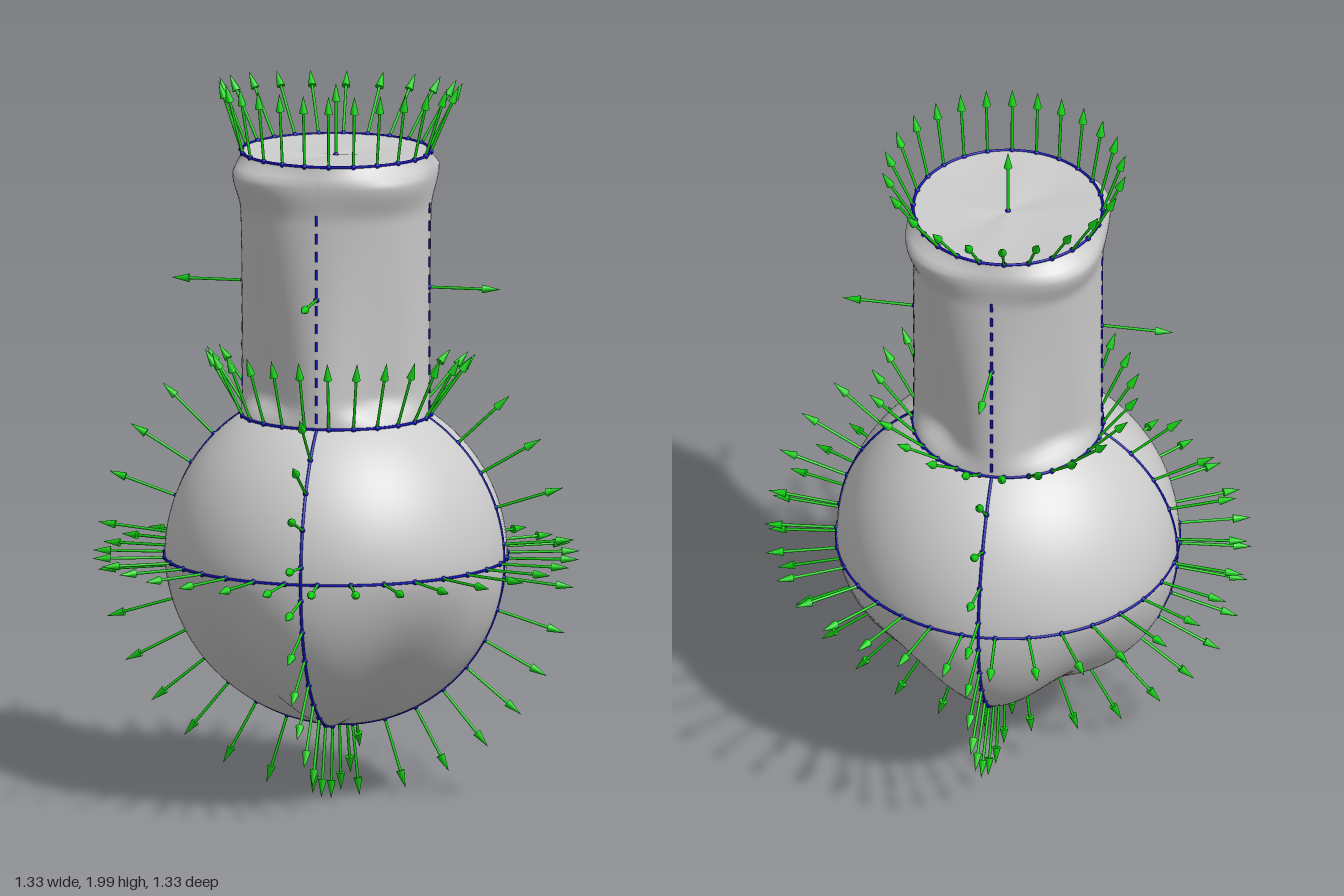
import * as THREE from 'three';

const R = 0.47, CY = 0.675, NECK = 0.26, SHOULDER = 1.07, RIM = 1.8;
const LAT = Math.asin((SHOULDER - CY) / R); // latitude where the neck begins

const grey = new THREE.MeshStandardMaterial({ color: 0xcccccc });
const green = new THREE.MeshStandardMaterial({ color: 0x14d014 });
const blue = new THREE.MeshStandardMaterial({ color: 0x1010b0 });

const V = (x, y, z) => new THREE.Vector3(x, y, z);
const UP = V(0, 1, 0);

// Point on a horizontal circle; angle 0 faces the front
const ring = (r, y, a) => V(r * Math.sin(a), y, r * Math.cos(a));

function add(group, name, geometry, material) {
  const mesh = new THREE.Mesh(geometry, material);
  mesh.name = name;
  group.add(mesh);
  return mesh;
}

// Turned surface whose vertices are shifted by rule(point, diagonal);
// diagonal is 0 on the four seams and 1 midway between them
function turned(profile, rule) {
  const geometry = new THREE.LatheGeometry(profile, 96);
  const pos = geometry.attributes.position, p = V(0, 0, 0);
  for (let i = 0; i < pos.count; i++) {
    p.fromBufferAttribute(pos, i);
    rule(p, Math.sin(2 * Math.atan2(p.x, p.z)) ** 2);
    pos.setXYZ(i, p.x, p.y, p.z);
  }
  geometry.computeVertexNormals();
  return geometry;
}

function samples(n, fn) {
  return Array.from({ length: n + 1 }, (_, i) => fn(i / n));
}

export function createModel() {
  const model = new THREE.Group();

  // Round bowl, its lower panels drawn flat between the seams
  const bowl = samples(48, t => {
    const a = -Math.PI / 2 + t * (LAT + Math.PI / 2);
    return new THREE.Vector2(Math.max(R * Math.cos(a), 0.0001), CY + R * Math.sin(a));
  });
  add(model, 'bowl', turned(bowl, (p, diagonal) => {
    const lat = Math.asin(Math.max(-1, Math.min(1, (p.y - CY) / R)));
    if (lat >= 0) return;
    const k = 1 - 0.12 * diagonal * Math.sin(-2 * lat);
    p.set(p.x * k, CY + (p.y - CY) * k, p.z * k);
  }), grey);

  // Neck, pinched on the diagonals below and swelling under the rim
  const neck = samples(48, t => new THREE.Vector2(NECK, SHOULDER + t * (RIM - SHOULDER)));
  const { smoothstep } = THREE.MathUtils;
  add(model, 'neck', turned(neck, (p, diagonal) => {
    const t = (p.y - SHOULDER) / (RIM - SHOULDER);
    const start = smoothstep(t, 0, 0.1), end = 1 - smoothstep(t, 0.93, 1);
    const swell = smoothstep(t, 0.78, 0.92);
    const shift = diagonal * (-0.058 + 0.085 * t) * start + swell * (0.012 + 0.012 * diagonal);
    const k = 1 + shift * end / NECK;
    p.x *= k;
    p.z *= k;
  }), grey);

  // Closed mouth with a shallow dip between the seams
  const lid = samples(12, t => new THREE.Vector2(Math.max(NECK * (1 - t), 0.0001), RIM));
  add(model, 'mouthCover', turned(lid, (p, diagonal) => {
    const s = Math.hypot(p.x, p.z) / NECK;
    p.y -= 0.012 * (1 - s) + 0.02 * diagonal * s * (1 - s);
  }), grey);

  // Shared pieces of the markers
  const LENGTH = 0.2, HEAD = 0.05;
  const shaft = new THREE.CylinderGeometry(0.004, 0.004, LENGTH - HEAD, 8)
    .translate(0, (LENGTH - HEAD) / 2, 0);
  const head = new THREE.ConeGeometry(0.012, HEAD, 10).translate(0, LENGTH - HEAD / 2, 0);
  const dot = new THREE.SphereGeometry(0.008, 10, 8);
  const arrows = new THREE.Group(), dots = new THREE.Group(), seams = new THREE.Group();
  arrows.name = 'directionArrows';
  dots.name = 'seamDots';
  seams.name = 'seamLines';
  model.add(arrows, dots, seams);

  const mark = (point, direction) => {
    const arrow = new THREE.Group();
    arrow.name = 'arrow';
    add(arrow, 'arrowShaft', shaft, green);
    add(arrow, 'arrowHead', head, green);
    arrow.position.copy(point);
    arrow.quaternion.setFromUnitVectors(UP, direction.clone().normalize());
    arrows.add(arrow);
    add(dots, 'dot', dot, blue).position.copy(point);
  };
  const markBowl = (lat, a) => {
    const n = ring(Math.cos(lat), Math.sin(lat), a);
    mark(n.clone().multiplyScalar(R).add(V(0, CY, 0)), n);
  };

  // Equator
  for (let i = 0; i < 32; i++) markBowl(0, (i + 0.5) * Math.PI / 16);

  // Four seams: bowl below, bowl above, then straight up the neck
  for (let q = 0; q < 4; q++) {
    const a = q * Math.PI / 2;
    for (let i = 0; i < 8; i++) markBowl(-(i + 0.5) * Math.PI / 16, a);
    for (let i = 0; i < 4; i++) markBowl(0.1 + i * 0.22, a);
    mark(ring(NECK, 1.43, a), ring(1, 0, a));
    const arc = new THREE.CatmullRomCurve3(samples(24, t => {
      const lat = -Math.PI / 2 + t * (LAT + Math.PI / 2);
      return ring(R * Math.cos(lat), CY + R * Math.sin(lat), a);
    }));
    add(seams, 'bowlSeam', new THREE.TubeGeometry(arc, 48, 0.004, 6), blue);
    for (let i = 0; i < 14; i++) {
      const dash = add(seams, 'neckDash', new THREE.CylinderGeometry(0.004, 0.004, 0.028, 6), blue);
      dash.position.copy(ring(NECK, SHOULDER + 0.03 + i * 0.05, a));
    }
  }

  // Shoulder and rim rings: arrows lean outward more toward the back
  const rings = [[SHOULDER, 0.05, 0.165], [RIM, 0.01, 0.13]];
  for (const [y, front, back] of rings) {
    for (let i = 0; i < 24; i++) {
      const a = (i + 0.5) * Math.PI / 12;
      const lean = front + (back - front) * (1 - Math.cos(a)) / 2;
      mark(ring(NECK, y, a), ring(lean, Math.sqrt(LENGTH ** 2 - lean ** 2), a));
    }
  }
  mark(V(0, RIM - 0.012, 0), UP);

  // Horizontal seam lines
  for (const [name, r, y] of [['equatorSeam', R, CY], ['shoulderSeam', NECK, SHOULDER], ['rimSeam', NECK, RIM]]) {
    const line = add(seams, name, new THREE.TorusGeometry(r, 0.004, 6, 96), blue);
    line.rotation.x = Math.PI / 2;
    line.position.y = y;
  }

  return model;
}
